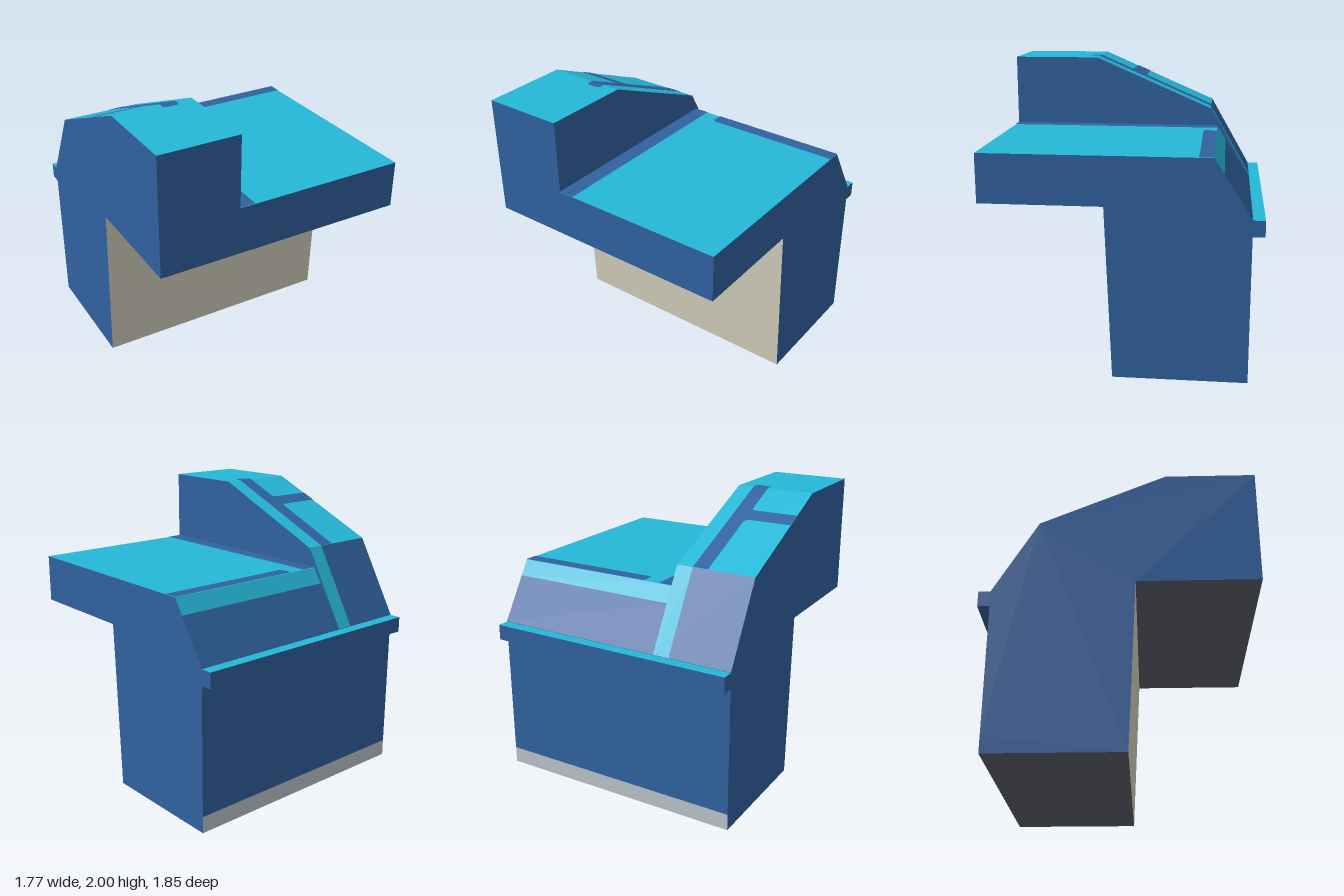
import * as THREE from 'three';

const mat = (name, color) => {
  const m = new THREE.MeshStandardMaterial({ color });
  m.name = name;
  return m;
};

export function createModel() {
  const group = new THREE.Group();
  const blue = mat('blue', 0x3062a0);
  const cyan = mat('cyan', 0x25b8d8);
  const beige = mat('beige', 0xd3cfbc);
  const grey = mat('light grey', 0xbcc5cc);
  const dark = mat('dark grey', 0x5f636d);

  const add = (name, geometry, material) => {
    const mesh = new THREE.Mesh(geometry, material);
    mesh.name = name;
    group.add(mesh);
    return mesh;
  };
  const shapeOf = (pts) => new THREE.Shape(pts.map(([x, y]) => new THREE.Vector2(x, y)));

  // Flat panel on the profile edge a-b ([z, y] points); u is x, v runs from a to b
  const panel = (name, a, b, outline, material, lift = 0) => {
    const right = new THREE.Vector3(1, 0, 0);
    const along = new THREE.Vector3(0, b[1] - a[1], b[0] - a[0]).normalize();
    const out = new THREE.Vector3().crossVectors(right, along);
    const frame = new THREE.Matrix4().makeBasis(right, along, out);
    frame.setPosition(out.x * lift, a[1] + out.y * lift, a[0] + out.z * lift);
    return add(name, new THREE.ShapeGeometry(shapeOf(outline)).applyMatrix4(frame), material);
  };
  const rect = (x0, x1, v0, v1) => [[x0, v0], [x1, v0], [x1, v1], [x0, v1]];

  // Side wall from a [z, y] outline, facing +x or -x
  const wall = (name, x, pts, facing) => {
    const g = new THREE.ShapeGeometry(shapeOf(pts.map(([z, y]) => [-facing * z, y])));
    g.rotateY(facing * Math.PI / 2).translate(x, 0, 0);
    return add(name, g, blue);
  };

  // Sweep a profile across x, one coloured panel per edge
  const sweep = (prefix, x0, x1, edges) => edges.forEach(([name, z, y, material], i) => {
    const [, z2, y2] = edges[(i + 1) % edges.length];
    const length = Math.hypot(z2 - z, y2 - y);
    panel(prefix + name, [z, y], [z2, y2], rect(x0, x1, 0, length), material);
  });

  const L = -0.885, M = -0.33, R = 0.885;
  // Edges shared by both halves, from the back ledge round to the overhang
  const lower = [
    ['BackWall', -0.845, 1.11, blue],
    ['BackSkirting', -0.845, 0.115, grey],
    ['Base', -0.845, 0, dark],
    ['FrontWall', 0.05, 0, beige],
    ['OverhangSoffit', 0.1, 1.17, dark],
  ];
  const tall = [
    ['Fascia', 0.925, 1.17, blue],
    ['RoofTop', 0.925, 2, cyan],
    ['RoofSlope', 0.31, 2, cyan],
    ['RearSlope', -0.545, 1.63, blue],
    ...lower,
  ];
  const low = [
    ['Fascia', 0.925, 1.17, blue],
    ['RoofTop', 0.925, 1.5, cyan],
    ['RearSlopeEdge', -0.595, 1.5, cyan],
    ['RearSlope', -0.66, 1.399, blue],
    ...lower,
  ];
  const points = (edges) => edges.map(([, z, y]) => [z, y]);

  sweep('tall', L, M, tall);
  sweep('low', M, R, low);
  wall('rightSideWall', L, points(tall), -1);
  wall('leftSideWall', R, points(low), 1);
  wall('stepWall', M, [[0.925, 1.5], [0.925, 2], [0.31, 2], [-0.545, 1.63], [-0.845, 1.11], [-0.595, 1.5]], 1);

  // Ledge along the back, cyan on top
  const ledge = add('backLedge', new THREE.BoxGeometry(R - L, 0.108, 0.08), [blue, blue, cyan, blue, blue, blue]);
  ledge.position.set(0, 1.054, -0.885);

  // Painted branching stripe on the tall roof
  const slopeLength = Math.hypot(0.855, 0.37);
  const c = 0.02;
  panel('slopeStripe', [0.31, 2], [-0.545, 1.63], [
    [-0.555, 0], [-0.445, 0], [-0.445, slopeLength], [-0.555, slopeLength],
    [-0.555, 0.381 + c], [-0.575, 0.381], [L, 0.381],
    [L, 0.272], [-0.575, 0.272], [-0.555, 0.272 - c / 2],
  ], blue, 0.003);
  panel('slopeStripeEnd', [0.37, 2], [0.31, 2], [
    [-0.535, 0], [-0.465, 0], [-0.445, 0.015], [-0.445, 0.06], [-0.555, 0.06], [-0.555, 0.015],
  ], blue, 0.003);
  panel('rearSlopeStripe', [-0.545, 1.63], [-0.845, 1.11],
    rect(-0.445, M, 0, Math.hypot(0.3, 0.52)), cyan, 0.003);

  // Painted stripes on the low roof
  panel('stepStripe', [0.925, 1.5], [-0.595, 1.5], rect(M, -0.22, 0, 1.52), blue, 0.003);
  panel('rearEdgeStripe', [-0.5, 1.5], [-0.595, 1.5],
    [[-0.095, 0], [R, 0], [R, 0.095], [-0.105, 0.095], [-0.105, 0.012]], blue, 0.003);

  return group;
}
